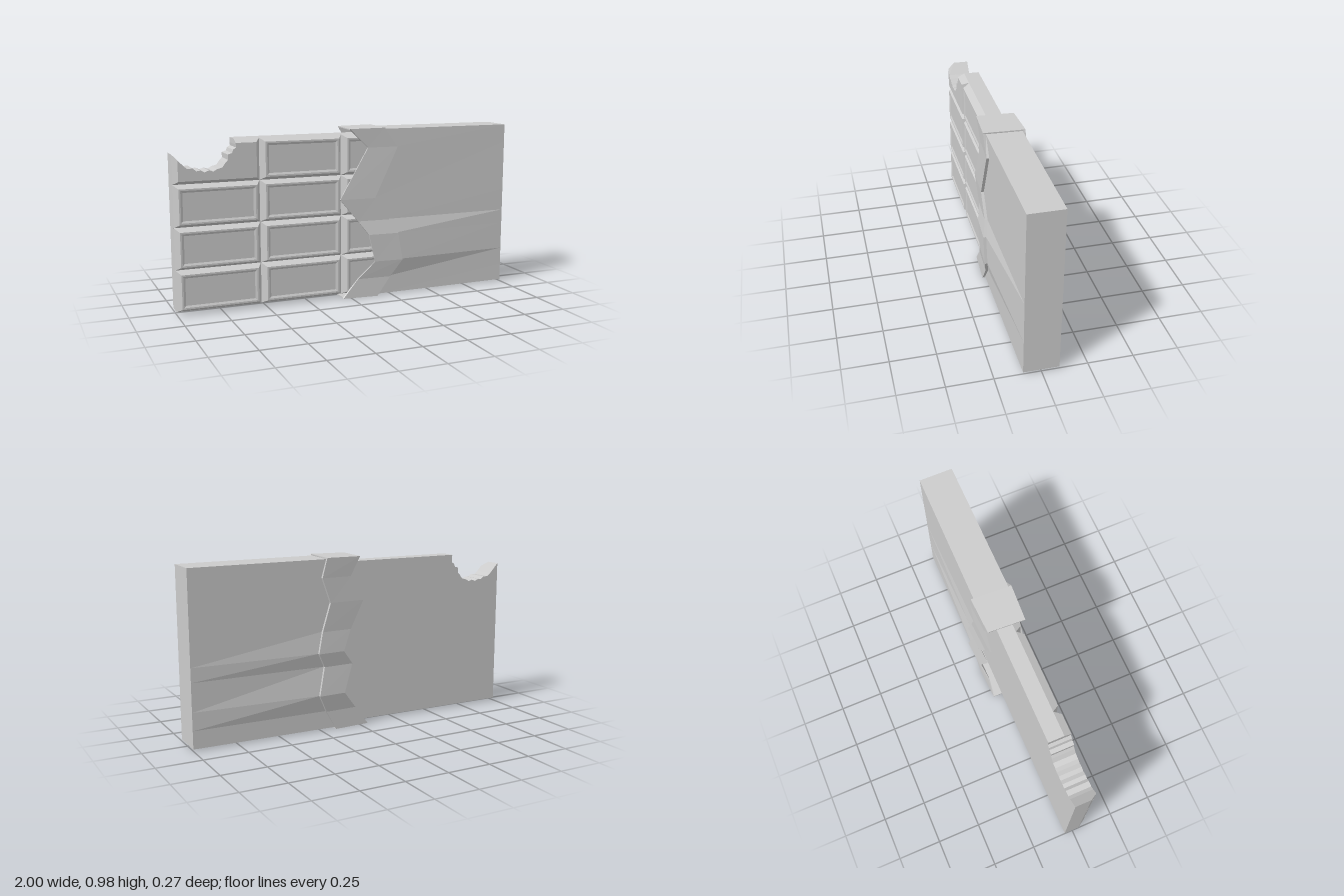
import * as THREE from 'three';

const material = new THREE.MeshStandardMaterial({ color: 0xcccccc, flatShading: true, side: THREE.DoubleSide });

// Closed band of quads between two rings with the same number of points
function band(out, a, b) {
  for (let i = 0; i < a.length; i++) {
    const j = (i + 1) % a.length;
    out.push(...a[i], ...b[i], ...b[j], ...a[i], ...b[j], ...a[j]);
  }
}

// Flat cap over a counter-clockwise outline at height z
function cap(out, outline, z) {
  const pts = outline.map(([x, y]) => new THREE.Vector2(x, y));
  for (const tri of THREE.ShapeUtils.triangulateShape(pts, []))
    for (const i of tri) out.push(...outline[i], z);
}

function meshFrom(name, positions) {
  const geo = new THREE.BufferGeometry();
  geo.setAttribute('position', new THREE.Float32BufferAttribute(positions, 3));
  geo.computeVertexNormals();
  const mesh = new THREE.Mesh(geo, material);
  mesh.name = name;
  return mesh;
}

// Bite edge: cusps joined by small scallops pushed away from the bite centre
function biteEdge() {
  const cusps = [[-0.66, 0.917], [-0.675, 0.89], [-0.705, 0.865], [-0.718, 0.822], [-0.765, 0.79],
    [-0.81, 0.785], [-0.855, 0.787], [-0.895, 0.8], [-0.945, 0.815], [-1, 0.875]];
  const pts = [[-0.66, 0.945]];
  cusps.forEach(([x, y], i) => {
    pts.push([x, y]);
    if (i >= cusps.length - 2) return;
    const mx = (x + cusps[i + 1][0]) / 2, my = (y + cusps[i + 1][1]) / 2;
    const dx = mx + 0.83, dy = my - 0.96, d = Math.hypot(dx, dy);
    pts.push([mx + dx / d * 0.01, my + dy / d * 0.01]);
  });
  return pts;
}

const X0 = -1, Y0 = 0.015, PITCH_X = 0.48, PITCH_Y = 0.2325;
const GROOVE_Z = 0.04, TOP_Z = 0.08, BEVEL = 0.025, BEVEL_Y = 0.02;

function chocolate() {
  const group = new THREE.Group();
  group.name = 'chocolateBar';
  const bite = biteEdge();
  const right = X0 + 3 * PITCH_X, top = Y0 + 4 * PITCH_Y;

  // Slab under the grooves
  const outline = [[X0, Y0], [right, Y0], [right, top], ...bite];
  const shape = new THREE.Shape(outline.map(([x, y]) => new THREE.Vector2(x, y)));
  const slabGeo = new THREE.ExtrudeGeometry(shape, { depth: GROOVE_Z + 0.05, bevelEnabled: false });
  const slab = new THREE.Mesh(slabGeo.translate(0, 0, -0.05), material);
  slab.name = 'slab';
  group.add(slab);

  // Bevelled squares with a shallow sunken panel; the corner one is bitten
  const at = (pts, z) => pts.map(([x, y]) => [x, y, z]);
  for (let c = 0; c < 3; c++) for (let r = 0; r < 4; r++) {
    const x = X0 + c * PITCH_X, y = Y0 + r * PITCH_Y;
    const rect = (dx, dy) => [[x + dx, y + dy], [x + PITCH_X - dx, y + dy],
      [x + PITCH_X - dx, y + PITCH_Y - dy], [x + dx, y + PITCH_Y - dy]];
    const out = [];
    if (c === 0 && r === 3) {
      const upper = bite.map(p => [...p]);
      upper[0][1] -= BEVEL_Y;
      upper[upper.length - 1] = [x + BEVEL, 0.847];
      const low = [...rect(0, 0).slice(0, 3), ...bite];
      const high = [...rect(BEVEL, BEVEL_Y).slice(0, 3), ...upper];
      band(out, at(high, TOP_Z), at(low, GROOVE_Z));
      cap(out, high, TOP_Z);
      group.add(meshFrom('bittenSquare', out));
    } else {
      const rings = [[0, 0, GROOVE_Z], [BEVEL, BEVEL_Y, TOP_Z], [0.034, 0.029, TOP_Z], [0.046, 0.04, TOP_Z - 0.006]]
        .map(([dx, dy, z]) => at(rect(dx, dy), z));
      for (let i = 1; i < rings.length; i++) band(out, rings[i], rings[i - 1]);
      cap(out, rect(0.046, 0.04), TOP_Z - 0.006);
      group.add(meshFrom('square', out));
    }
  }
  return group;
}

function wrapper() {
  const group = new THREE.Group();
  group.name = 'wrapper';
  // Torn edge, front upward then back downward: y, outer z, edge x, cuff width
  const torn = [
    [0, 0.118, -0.05, 0.21], [0.11, 0.118, 0.04, 0.2], [0.21, 0.138, 0.14, 0.17],
    [0.37, 0.138, 0.1, 0.18], [0.45, 0.118, 0.04, 0.19], [0.58, 0.118, -0.07, 0.21],
    [0.87, 0.118, 0.1, 0.18], [0.98, 0.118, -0.01, 0.21],
    [0.98, -0.113, 0, 0.21], [0.87, -0.113, 0.06, 0.18], [0.73, -0.113, -0.02, 0.21],
    [0.57, -0.113, 0.06, 0.18], [0.45, -0.127, 0.11, 0.16], [0.37, -0.113, 0.05, 0.18],
    [0.21, -0.135, 0.11, 0.16], [0.11, -0.113, 0.03, 0.19], [0, -0.113, -0.05, 0.21],
  ];
  const ring = (fx, inset, yIn) => torn.map(([y, z, x, w]) =>
    [fx(x, w), THREE.MathUtils.clamp(y, yIn, 0.98 - yIn), z - Math.sign(z) * inset]);
  const bodyEdge = ring(x => x, 0.018, 0.008);
  const bodyFold = ring((x, w) => x + w, 0.016, 0.008);
  const cuffEdge = ring(x => x, 0.01, 0.002);
  const cuffBack = ring((x, w) => x + w, 0, 0);
  const end = torn.map(([y, z]) => [1, THREE.MathUtils.clamp(y, 0.01, 0.97), Math.sign(z) * 0.097]);

  // Sleeve around the bar, closed at the far end
  const sleeve = [];
  band(sleeve, bodyEdge, bodyFold);
  band(sleeve, bodyFold, end);
  band(sleeve, end, end.map(() => [1, 0.49, 0]));
  group.add(meshFrom('sleeve', sleeve));

  // Zigzag cuff folded back over the sleeve
  const cuff = [];
  band(cuff, bodyEdge, cuffEdge);
  band(cuff, cuffEdge, cuffBack);
  band(cuff, cuffBack, bodyFold);
  group.add(meshFrom('foldedCuff', cuff));
  return group;
}

export function createModel() {
  const model = new THREE.Group();
  model.name = 'wrappedChocolateBar';
  model.add(chocolate(), wrapper());
  return model;
}
